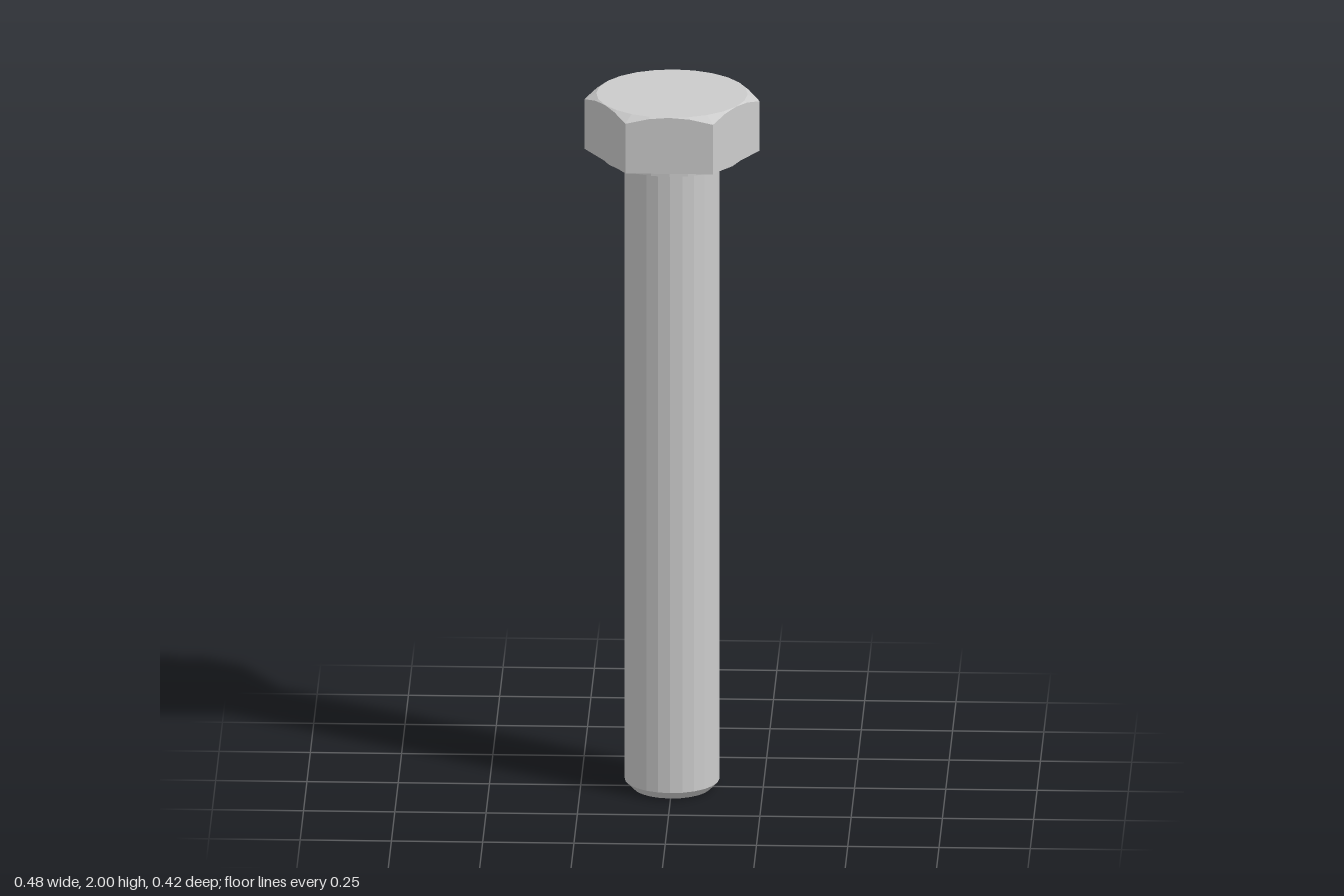
import * as THREE from 'three';

const SIDES = 24;
const CORNER = 0.24;                              // hexagon corner radius
const FLAT = CORNER * Math.cos(Math.PI / 6);      // centre to flat
const TOP = 2, HEAD_BOTTOM = 1.838, BEARING = 1.825;

const steel = new THREE.MeshStandardMaterial({ color: 0xcccccc, flatShading: true });

// Distance from the axis to the hexagon outline, with corners on the x axis
function hexRadius(angle) {
  const sector = Math.PI / 3;
  return FLAT / Math.cos((angle % sector) - sector / 2);
}

// Closed solid from stacked rings, listed from bottom to top
function loft(rings) {
  const positions = [], index = [];
  for (const ring of rings) {
    for (let i = 0; i < SIDES; i++) {
      const a = (i / SIDES) * Math.PI * 2;
      const [r, y] = ring(a);
      positions.push(r * Math.cos(a), y, r * Math.sin(a));
    }
  }
  const last = rings.length - 1;
  for (let j = 0; j < last; j++) {
    for (let i = 0; i < SIDES; i++) {
      const n = (i + 1) % SIDES;
      const a = j * SIDES + i, b = j * SIDES + n, c = a + SIDES, d = b + SIDES;
      index.push(a, c, b, b, c, d);
    }
  }
  // Flat caps as fans
  for (let i = 1; i < SIDES - 1; i++) {
    const t = last * SIDES;
    index.push(0, i, i + 1, t, t + i + 1, t + i);
  }
  const geometry = new THREE.BufferGeometry();
  geometry.setAttribute('position', new THREE.Float32BufferAttribute(positions, 3));
  geometry.setIndex(index);
  const flat = geometry.toNonIndexed();
  flat.computeVertexNormals();
  return flat;
}

export function createModel() {
  const bolt = new THREE.Group();
  bolt.name = 'hexBolt';
  const add = (name, geometry) => {
    const mesh = new THREE.Mesh(geometry, steel);
    mesh.name = name;
    bolt.add(mesh);
  };
  const circle = (r, y) => () => [r, y];

  // Hexagonal head, its corners cut by a 30 degree cone
  const topRadius = FLAT - 0.0005;
  add('head', loft([
    (a) => [hexRadius(a), HEAD_BOTTOM],
    (a) => [hexRadius(a), TOP - (hexRadius(a) - topRadius) * Math.tan(Math.PI / 6)],
    circle(topRadius, TOP),
  ]));

  // Round bearing face under the head
  add('washerFace', loft([circle(0.195, BEARING), circle(0.195, HEAD_BOTTOM)]));

  // Shank with a chamfered tip and a small fillet under the head
  add('shank', loft([
    circle(0.108, 0),
    circle(0.13, 0.023),
    circle(0.13, BEARING - 0.01),
    circle(0.133, BEARING - 0.003),
    circle(0.14, BEARING),
  ]));

  return bolt;
}
